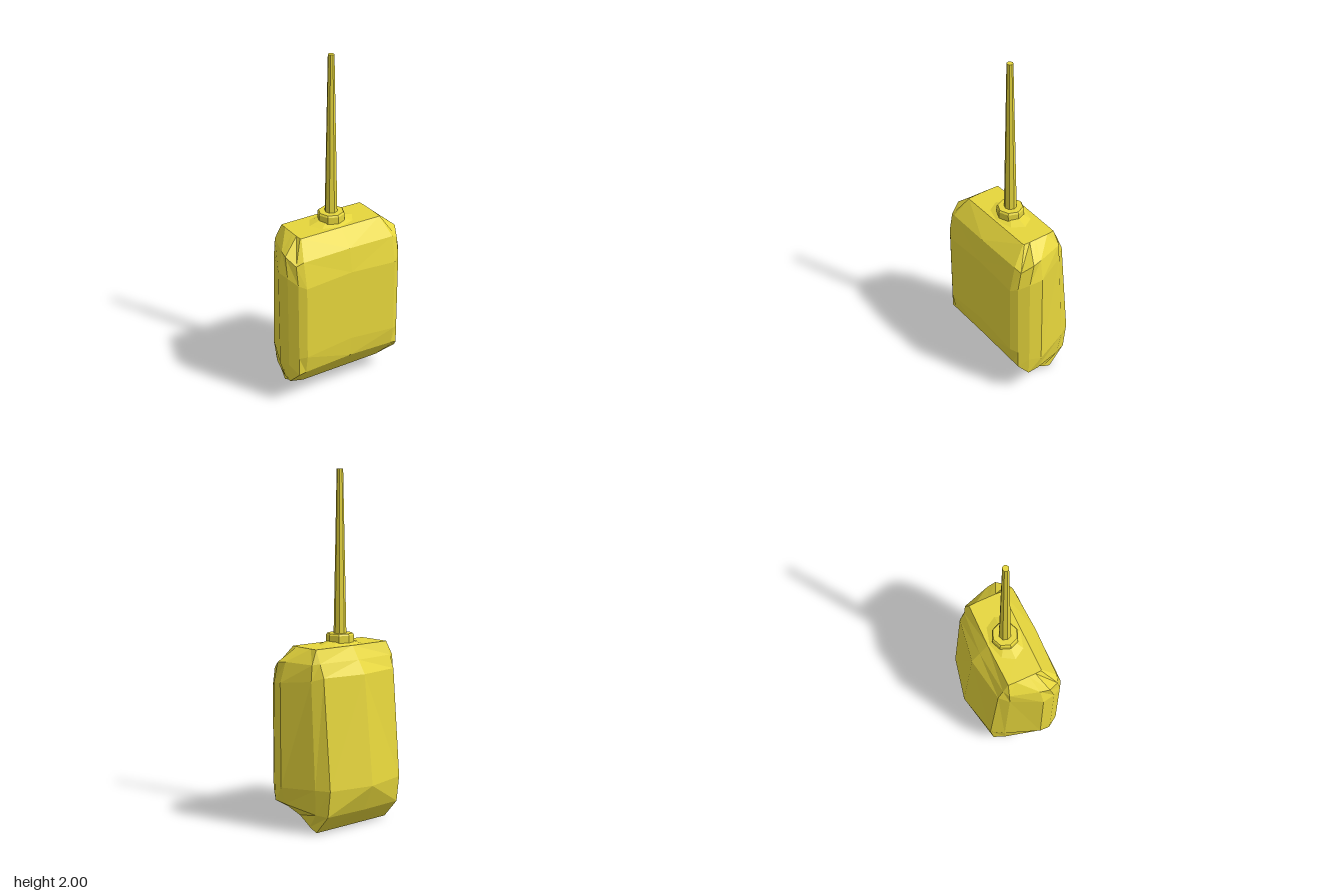
import * as THREE from 'three';

const material = new THREE.MeshStandardMaterial({ color: 0xe6d63c, flatShading: true });

// Half cross-sections from front centre round the +x side to back centre: [x, y, z]
const SECTIONS = [
  // slanted underside
  [[0, .11, .13], [.255, .11, .13], [.26, .108, .125], [.262, .095, .10], [.265, .075, .065], [.264, .025, -.02], [.26, 0, -.07], [0, 0, -.07]],
  // lower chamfer
  [[0, .25, .235], [.29, .23, .225], [.33, .22, .22], [.36, .16, .165], [.35, .15, .09], [.29, .115, -.10], [.26, .11, -.17], [0, .11, -.18]],
  // start of the upright walls
  [[0, .37, .245], [.29, .34, .245], [.33, .33, .22], [.365, .27, .165], [.38, .25, .09], [.305, .26, -.115], [.26, .26, -.19], [0, .26, -.248]],
  // end of the upright walls
  [[0, .80, .245], [.29, .78, .245], [.33, .80, .22], [.365, .83, .165], [.38, .84, .09], [.305, .86, -.085], [.26, .88, -.137], [0, .88, -.18]],
  // shoulder
  [[0, .94, .222], [.29, .93, .213], [.33, .91, .20], [.36, .95, .135], [.35, .955, .08], [.298, .95, -.085], [.26, .955, -.107], [0, .955, -.13]],
  // flat top
  [[0, 1.03, .13], [.255, 1.03, .13], [.26, 1.03, .125], [.262, 1.03, .09], [.262, 1.03, .05], [.262, 1.03, -.03], [.26, 1.03, -.075], [0, 1.03, -.08]],
];

// Skin mirrored half-sections into a closed faceted shell
function loft(sections) {
  const loops = sections.map(half => [
    ...half,
    ...half.slice(1, -1).reverse().map(([x, y, z]) => [-x, y, z]),
  ]);
  const n = loops[0].length, top = loops.length - 1, pos = [];
  const tri = (a, b, c) => pos.push(...a, ...b, ...c);
  for (let i = 0; i < top; i++) {
    for (let j = 0; j < n; j++) {
      const k = (j + 1) % n, lo = loops[i], up = loops[i + 1];
      // diagonals mirror between the two halves
      if (j < n / 2) { tri(lo[j], lo[k], up[k]); tri(lo[j], up[k], up[j]); }
      else { tri(lo[j], lo[k], up[j]); tri(lo[k], up[k], up[j]); }
    }
  }
  for (let j = 1; j < n - 1; j++) {
    tri(loops[top][0], loops[top][j], loops[top][j + 1]);
    tri(loops[0][0], loops[0][j + 1], loops[0][j]);
  }
  const g = new THREE.BufferGeometry();
  g.setAttribute('position', new THREE.Float32BufferAttribute(pos, 3));
  g.computeVertexNormals();
  return g;
}

export function createModel() {
  const group = new THREE.Group();
  const add = (name, geometry) => {
    const mesh = new THREE.Mesh(geometry, material);
    mesh.name = name;
    group.add(mesh);
    return mesh;
  };
  // Round part given by radii and heights, on the antenna axis
  const turned = (name, rBottom, rTop, y0, y1, sides = 8) => {
    const mesh = add(name, new THREE.CylinderGeometry(rTop, rBottom, y1 - y0, sides));
    mesh.position.set(0, (y0 + y1) / 2, .027);
    return mesh;
  };

  add('body', loft(SECTIONS));

  // Low mound, collar and tapered antenna
  const mound = turned('antennaMound', .15, .07, 1.027, 1.05);
  mound.scale.z = .68;
  turned('antennaCollar', .078, .078, 1.04, 1.08);
  turned('antennaCollarBevel', .078, .071, 1.08, 1.09);
  turned('antennaRod', .036, .018, 1.08, 2);

  return group;
}
